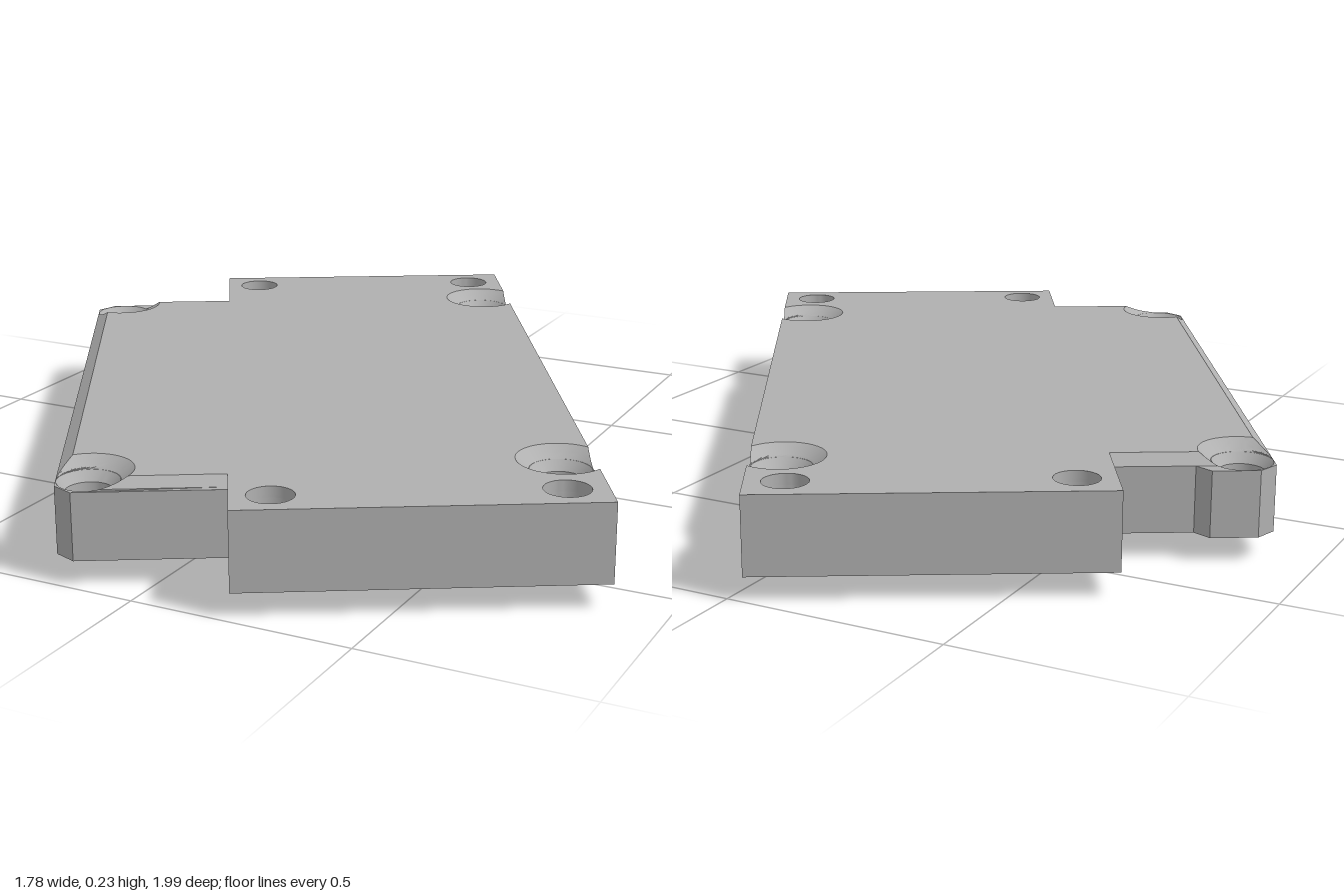
import * as THREE from 'three';
import { toCreasedNormals } from 'three/addons/utils/BufferGeometryUtils.js';

const V = (x, z) => new THREE.Vector2(x, z);

// Points along an arc, from angle a0 to a1 (end points included)
function arc([cx, cz], r, a0, a1, n = 28) {
  return Array.from({ length: n + 1 }, (_, i) => {
    const a = a0 + (a1 - a0) * i / n;
    return V(cx + r * Math.cos(a), cz + r * Math.sin(a));
  });
}
const circle = (c, r, n = 32) => arc(c, r, 0, Math.PI * 2 * (n - 1) / n, n - 1);

// Stacked contours joined by walls; each level is { y, rings: [outline, ...holes] }
function slab(levels, { bottom = true, top = false } = {}) {
  const pos = [];
  const tri = (...pts) => pts.forEach(([p, y]) => pos.push(p.x, y, p.y));
  levels[0].rings.forEach((ring, k) => {
    const flip = (THREE.ShapeUtils.area(ring) > 0) !== (k === 0);
    if (flip) levels.forEach(l => l.rings[k].reverse());
  });
  for (let l = 0; l + 1 < levels.length; l++) {
    const lo = levels[l], hi = levels[l + 1];
    lo.rings.forEach((ring, k) => ring.forEach((p, i) => {
      const j = (i + 1) % ring.length, q = hi.rings[k];
      tri([p, lo.y], [q[i], hi.y], [ring[j], lo.y]);
      tri([ring[j], lo.y], [q[i], hi.y], [q[j], hi.y]);
    }));
  }
  const cap = ({ y, rings }, up) => {
    const pts = rings.flat();
    for (const f of THREE.ShapeUtils.triangulateShape(rings[0], rings.slice(1))) {
      const [a, b, c] = f.map(i => pts[i]);
      const down = (b.x - a.x) * (c.y - a.y) - (b.y - a.y) * (c.x - a.x) > 0;
      if (down !== up) tri([a, y], [b, y], [c, y]);
      else tri([a, y], [c, y], [b, y]);
    }
  };
  if (bottom) cap(levels[0], false);
  if (top) cap(levels[levels.length - 1], true);
  const g = new THREE.BufferGeometry();
  g.setAttribute('position', new THREE.Float32BufferAttribute(pos, 3));
  g.computeVertexNormals();
  return toCreasedNormals(g, 0.5);
}

const plainHoles = [[0.38, -0.803], [-0.215, -0.803], [0.38, 0.885], [-0.215, 0.885]];
const rightRear = [0.397, -0.628], rightFront = [0.397, 0.705];
const leftFront = [-0.588, 0.711], leftRear = [-0.588, -0.622];
const screwHoles = [rightRear, rightFront, leftFront, leftRear];

const plateOutline = () => [
  [0.466, -0.889], [0.466, 0.967], [-0.3, 0.967], [-0.3, 0.783], [-0.62, 0.783], [-0.656, 0.741],
  [-0.656, -0.653], [-0.616, -0.691], [-0.512, -0.691], [-0.483, -0.655], [-0.3, -0.655], [-0.3, -0.889],
].map(p => V(...p));
const rect = (x0, x1, z0, z1) => [V(x0, z0), V(x1, z0), V(x1, z1), V(x0, z1)];
const drilled = r => [
  ...plainHoles.map(c => circle(c, 0.05)),
  ...screwHoles.map(c => circle(c, r)),
];

// Chamfered top outline, with the countersinks breaking through its edges
function topOutline(t) {
  const PI = Math.PI, r = 0.068 + 0.029 * t;
  const xL = -0.656 + 0.03 * t, zF = 0.783 - 0.025 * t, zR = -0.655 + 0.022 * t;
  const ac = d => Math.acos(Math.min(1, d / r)), as = d => Math.asin(Math.min(1, d / r));
  const edge = ac(0.466 - rightRear[0]), left = ac(leftFront[0] - xL);
  return [
    V(0.466, -0.889),
    ...arc(rightRear, r, -edge, edge - 2 * PI),
    ...arc(rightFront, r, -edge, edge - 2 * PI),
    V(0.466, 0.967), V(-0.3, 0.967), V(-0.3, zF),
    ...arc(leftFront, r, as(zF - leftFront[1]), left - PI),
    ...arc(leftRear, r, PI - left, -as(leftRear[1] - zR)),
    V(-0.3, zR), V(-0.3, -0.889),
  ];
}

export function createModel() {
  const model = new THREE.Group();
  model.name = 'mountingPlate';
  const grey = new THREE.MeshStandardMaterial({ color: 0xb0b0b0 });
  grey.name = 'machined grey';
  const add = (name, geometry) => {
    const mesh = new THREE.Mesh(geometry, grey);
    mesh.name = name;
    model.add(mesh);
  };
  const yBase = 0.055, yCeiling = 0.13, ySink = 0.183, yChamfer = 0.205, yTop = 0.23;

  // Rim around the underside cavity
  const rim = () => [plateOutline(), rect(-0.56, 0.41, -0.575, 0.645), ...drilled(0.05)];
  add('undersideRim', slab([{ y: yBase, rings: rim() }, { y: yCeiling, rings: rim() }]));

  // Middle of the plate, with a round pocket in the cavity ceiling
  const core = () => [plateOutline(), circle([0.16, -0.448], 0.15, 48), ...drilled(0.05)];
  add('plateCore', slab([{ y: yCeiling, rings: core() }, { y: ySink, rings: core() }]));

  // Lower part of the countersinks
  add('countersinkLayer', slab([
    { y: ySink, rings: [plateOutline(), ...drilled(0.05)] },
    { y: yChamfer, rings: [plateOutline(), ...drilled(0.067)] },
  ], { top: true }));

  // Top with chamfered left side and open countersinks
  const steps = 6;
  add('chamferedTop', slab(Array.from({ length: steps + 1 }, (_, i) => ({
    y: yChamfer + (yTop - yChamfer) * i / steps,
    rings: [topOutline(i / steps), ...plainHoles.map(c => circle(c, 0.05))],
  })), { bottom: false, top: true }));

  // Stepped pad hanging from the cavity ceiling
  const pad = () => [[
    [-0.518, 0.52], [0.15, 0.52], [0.15, 0.03], [-0.02, 0.03], [-0.02, -0.324], [-0.518, -0.324],
  ].map(p => V(...p))];
  add('steppedPad', slab([{ y: 0, rings: pad() }, { y: yCeiling, rings: pad() }]));

  model.rotation.y = Math.PI / 6;
  return model;
}
